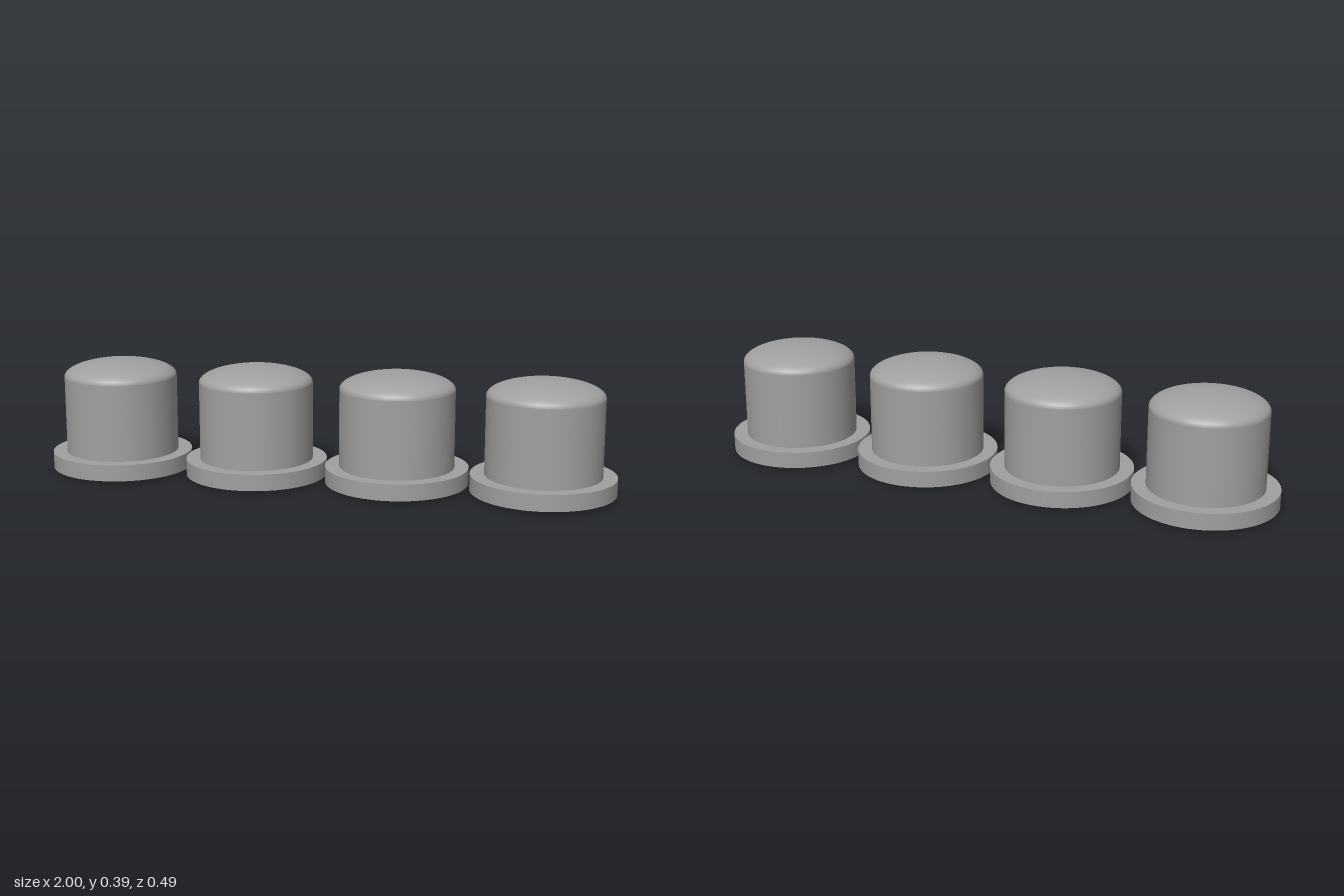
import * as THREE from 'three';
import { mergeGeometries } from 'three/addons/utils/BufferGeometryUtils.js';

const SEGMENTS = 64;

// Revolve each straight run of a profile separately so its corners stay sharp
function turned(points) {
  const bands = [];
  for (let i = 0; i < points.length - 1; i++) {
    const run = [points[i], points[i + 1]].map(([r, y]) => new THREE.Vector2(r, y));
    bands.push(new THREE.LatheGeometry(run, SEGMENTS));
  }
  return mergeGeometries(bands);
}

export function createModel() {
  const model = new THREE.Group();
  model.name = 'buttonRow';
  const grey = new THREE.MeshStandardMaterial({ color: 0xa0a0a0 });
  grey.name = 'grey';

  // Short pin standing in the recess under the base
  const pin = turned([[0, 0], [0.079, 0], [0.079, 0.04]]);

  // Round base flange with a recess around the pin
  const flange = turned([
    [0.079, 0.04], [0.108, 0.04], [0.108, 0.01],
    [0.247, 0.01], [0.247, 0.067], [0.198, 0.067],
  ]);

  // Straight cap wall
  const wall = turned([[0.198, 0.067], [0.198, 0.336]]);

  // Shallow elliptical dome
  const arc = [];
  for (let i = 0; i <= 16; i++) {
    const a = (i / 16) * Math.PI / 2;
    arc.push(new THREE.Vector2(i === 16 ? 0 : 0.198 * Math.cos(a), 0.336 + 0.058 * Math.sin(a)));
  }
  const dome = new THREE.LatheGeometry(arc, SEGMENTS);

  const parts = { pin, flange, capWall: wall, capDome: dome };

  // Four identical buttons in a row
  for (let i = 0; i < 4; i++) {
    const button = new THREE.Group();
    button.name = `button${i + 1}`;
    for (const [name, geometry] of Object.entries(parts)) {
      const mesh = new THREE.Mesh(geometry, grey);
      mesh.name = name;
      button.add(mesh);
    }
    button.position.x = (i - 1.5) * 0.502;
    model.add(button);
  }
  return model;
}
